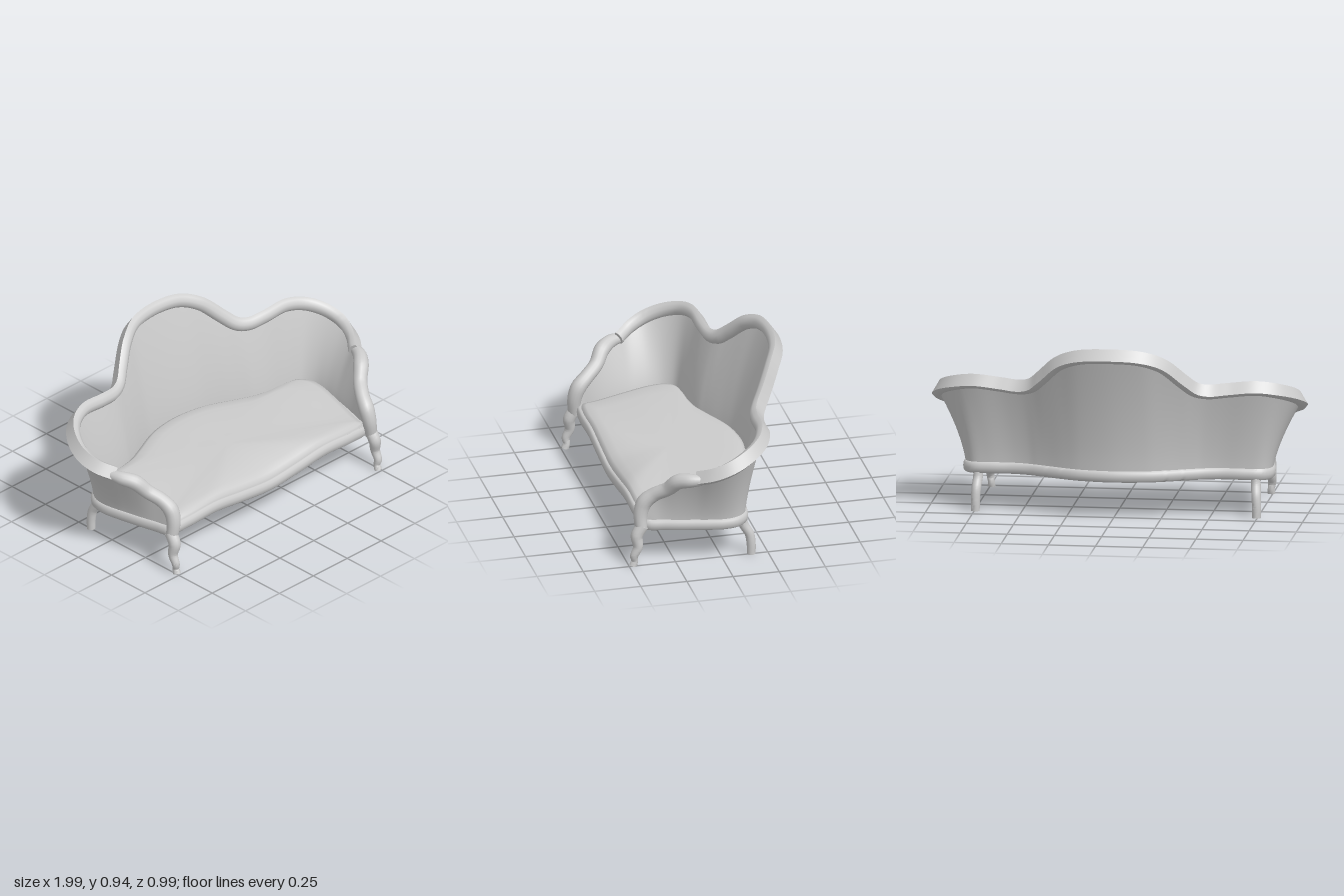
import * as THREE from 'three';
import { mergeVertices, toCreasedNormals } from 'three/addons/utils/BufferGeometryUtils.js';

const grey = new THREE.MeshStandardMaterial({ color: 0xcccccc });
const thin = new THREE.MeshStandardMaterial({ color: 0xcccccc, side: THREE.DoubleSide });
const lerp = THREE.MathUtils.lerp;
const V = (p) => new THREE.Vector3(...p);

// Half plan, from the back centre round to the front: edge of the rail / arm, and seat base below it
const EDGE = [
  [0, 0.908, -0.463], [0.17, 0.895, -0.443], [0.28, 0.85, -0.392], [0.38, 0.757, -0.325],
  [0.44, 0.705, -0.282], [0.5, 0.69, -0.258], [0.6, 0.698, -0.242], [0.75, 0.71, -0.23],
  [0.86, 0.69, -0.185], [0.935, 0.655, -0.1], [0.965, 0.612, 0], [0.945, 0.573, 0.09],
  [0.89, 0.54, 0.165], [0.82, 0.49, 0.27], [0.75, 0.41, 0.35], [0.725, 0.34, 0.415], [0.73, 0.25, 0.43],
];
const BASE = [
  [0, 0.23, -0.305], [0.17, 0.23, -0.284], [0.26, 0.23, -0.253], [0.35, 0.23, -0.212],
  [0.41, 0.23, -0.186], [0.46, 0.23, -0.165], [0.55, 0.23, -0.146], [0.68, 0.228, -0.138],
  [0.765, 0.225, -0.12], [0.803, 0.222, -0.07], [0.81, 0.22, 0], [0.798, 0.22, 0.08],
  [0.783, 0.22, 0.15], [0.763, 0.22, 0.24], [0.742, 0.22, 0.32], [0.732, 0.22, 0.37], [0.72, 0.222, 0.4],
];
// Serpentine front of the seat frame
const FRONT = [[0.6, 0.232, 0.42], [0.4, 0.24, 0.422], [0.2, 0.217, 0.422], [0, 0.2, 0.422]];

// Half-round sections, flat on the outer side: [outward, across]
const RAIL = [[0.014, 0.035], [0.014, -0.035], [-0.008, -0.039], [-0.03, -0.03], [-0.043, -0.012],
  [-0.043, 0.012], [-0.03, 0.03], [-0.008, 0.039]];
const FRAME = [[0.013, 0.02], [0.016, 0], [0.013, -0.02], [0.004, -0.03], [-0.014, -0.028],
  [-0.022, 0], [-0.014, 0.028], [0.004, 0.03]];

const flip = (p, s = -1) => [p[0] * s, p[1], p[2]];
const mirrored = (pts) => [...pts.slice(1).reverse().map((p) => flip(p)), ...pts];
const spline = (pts, closed = false) => new THREE.CatmullRomCurve3(pts.map(V), closed);

function add(parent, name, geometry, material = grey) {
  const mesh = new THREE.Mesh(geometry, material);
  mesh.name = name;
  parent.add(mesh);
}

// Surface from a rule P(i, j)
function grid(nu, nv, rule) {
  const pos = [], idx = [];
  for (let i = 0; i <= nu; i++) {
    for (let j = 0; j <= nv; j++) {
      pos.push(...rule(i, j).toArray());
      if (i === nu || j === nv) continue;
      const a = i * (nv + 1) + j, b = a + nv + 1;
      idx.push(a, b, b + 1, a, b + 1, a + 1);
    }
  }
  let g = new THREE.BufferGeometry();
  g.setAttribute('position', new THREE.Float32BufferAttribute(pos, 3));
  g.setIndex(idx);
  g = mergeVertices(g, 1e-5);
  g.computeVertexNormals();
  return g;
}

// Section carried along a curve, its flat side facing outward and tilted up; open ends are capped
function sweep(curve, section, n, tilt) {
  const m = section.length;
  const g = grid(n, m, (i, j) => {
    const u = curve.closed ? (i % n) / n : THREE.MathUtils.clamp((i - 1) / (n - 2), 0, 1);
    const c = curve.getPointAt(u), t = curve.getTangentAt(u);
    if (!curve.closed && (i === 0 || i === n)) return c;
    const out = new THREE.Vector3(t.z, 0, -t.x).normalize();
    out.y = tilt;
    out.addScaledVector(t, -out.dot(t)).normalize();
    const across = t.clone().cross(out);
    return c.addScaledVector(out, section[j % m][0]).addScaledVector(across, section[j % m][1]);
  });
  return toCreasedNormals(g, 0.95);
}

// Capped tube whose radius follows a list of values along its length
function taperedTube(pts, radii, n = 40, sides = 14) {
  const curve = spline(pts);
  const g = new THREE.TubeGeometry(curve, n, 1, sides, false);
  const pos = g.attributes.position, nor = g.attributes.normal;
  for (let i = 0; i <= n; i++) {
    const u = THREE.MathUtils.clamp((i - 1) / (n - 2), 0, 1);
    const c = curve.getPointAt(u);
    const f = curve.getUtoTmapping(u) * (radii.length - 1);
    const k = Math.min(Math.floor(f), radii.length - 2);
    const r = i === 0 || i === n ? 0 : lerp(radii[k], radii[k + 1], f - k);
    for (let j = 0; j <= sides; j++) {
      const q = i * (sides + 1) + j;
      const p = new THREE.Vector3().fromBufferAttribute(nor, q).multiplyScalar(r).add(c);
      pos.setXYZ(q, p.x, Math.max(0, p.y), p.z);
    }
  }
  return toCreasedNormals(g, 0.9);
}

export function createModel() {
  const sofa = new THREE.Group();
  sofa.name = 'sofa';

  // Curved back and arm panels, flaring outward from the seat to the rail
  const top = spline(mirrored(EDGE)), bottom = spline(mirrored(BASE));
  const shell = grid(160, 10, (i, j) => {
    const a = bottom.getPoint(i / 160), b = top.getPoint(i / 160), t = j / 10;
    const flare = Math.pow(t, 1.4);
    return new THREE.Vector3(lerp(a.x, b.x, flare), lerp(a.y, b.y, t), lerp(a.z, b.z, flare));
  });
  add(sofa, 'backAndArmPanel', shell, thin);

  // Half-round rail along the back and arms
  add(sofa, 'topRail', sweep(spline(mirrored(EDGE.slice(0, 13))), RAIL, 140, 0.7));

  // Seat frame following the whole outline
  const loop = [...BASE, ...FRONT, ...[...BASE.slice(1), ...FRONT.slice(0, -1)].reverse().map((p) => flip(p))];
  const outline = spline(loop, true);
  add(sofa, 'seatFrame', sweep(outline, FRAME, 220, 0));

  // Domed seat with a closed underside: [scale, height, underside?]
  const profile = [
    [0, 0.018], [0.2, 0.018], [0.4, 0.017], [0.6, 0.015], [0.8, 0.011], [0.93, 0.004], [0.975, -0.008],
    [0.99, -0.035], [0.985, 0, 1], [0.6, 0, 1], [0, 0, 1],
  ];
  const seat = grid(160, profile.length - 1, (i, j) => {
    const p = outline.getPoint((i % 160) / 160), [s, h, under] = profile[j];
    const rise = 0.03 * THREE.MathUtils.smoothstep(0.4 - p.z, 0, 0.5);
    const y = under ? lerp(0.205, p.y - 0.015, s * s) : lerp(0.295, p.y + 0.05 + rise, s * s) + h;
    return new THREE.Vector3(p.x * s, y, lerp(0.1, p.z, s));
  });
  add(sofa, 'seat', toCreasedNormals(seat, 0.9));

  for (const [side, s] of [['left', 1], ['right', -1]]) {
    const part = (name, pts, radii) => add(sofa, side + name, taperedTube(pts.map((p) => flip(p, s)), radii));
    // Scrolled arm support
    part('ArmSupport', [
      [0.9, 0.53, 0.145], [0.88, 0.525, 0.2], [0.835, 0.505, 0.255], [0.785, 0.445, 0.3],
      [0.742, 0.402, 0.36], [0.722, 0.355, 0.41], [0.722, 0.29, 0.432], [0.735, 0.2, 0.432],
    ], [0.028, 0.037, 0.042, 0.038, 0.038, 0.042, 0.038, 0.032]);
    // Cabriole front leg
    part('FrontLeg', [
      [0.735, 0.225, 0.425], [0.738, 0.17, 0.456], [0.746, 0.108, 0.452],
      [0.746, 0.055, 0.474], [0.742, 0.03, 0.469], [0.742, 0, 0.478],
    ], [0.034, 0.033, 0.026, 0.021, 0.018, 0.021]);
    // Raked back leg
    part('BackLeg', [
      [0.735, 0.21, -0.115], [0.737, 0.17, -0.122], [0.742, 0.115, -0.152],
      [0.745, 0.06, -0.161], [0.745, 0, -0.162],
    ], [0.025, 0.026, 0.025, 0.024, 0.023]);
  }
  return sofa;
}
